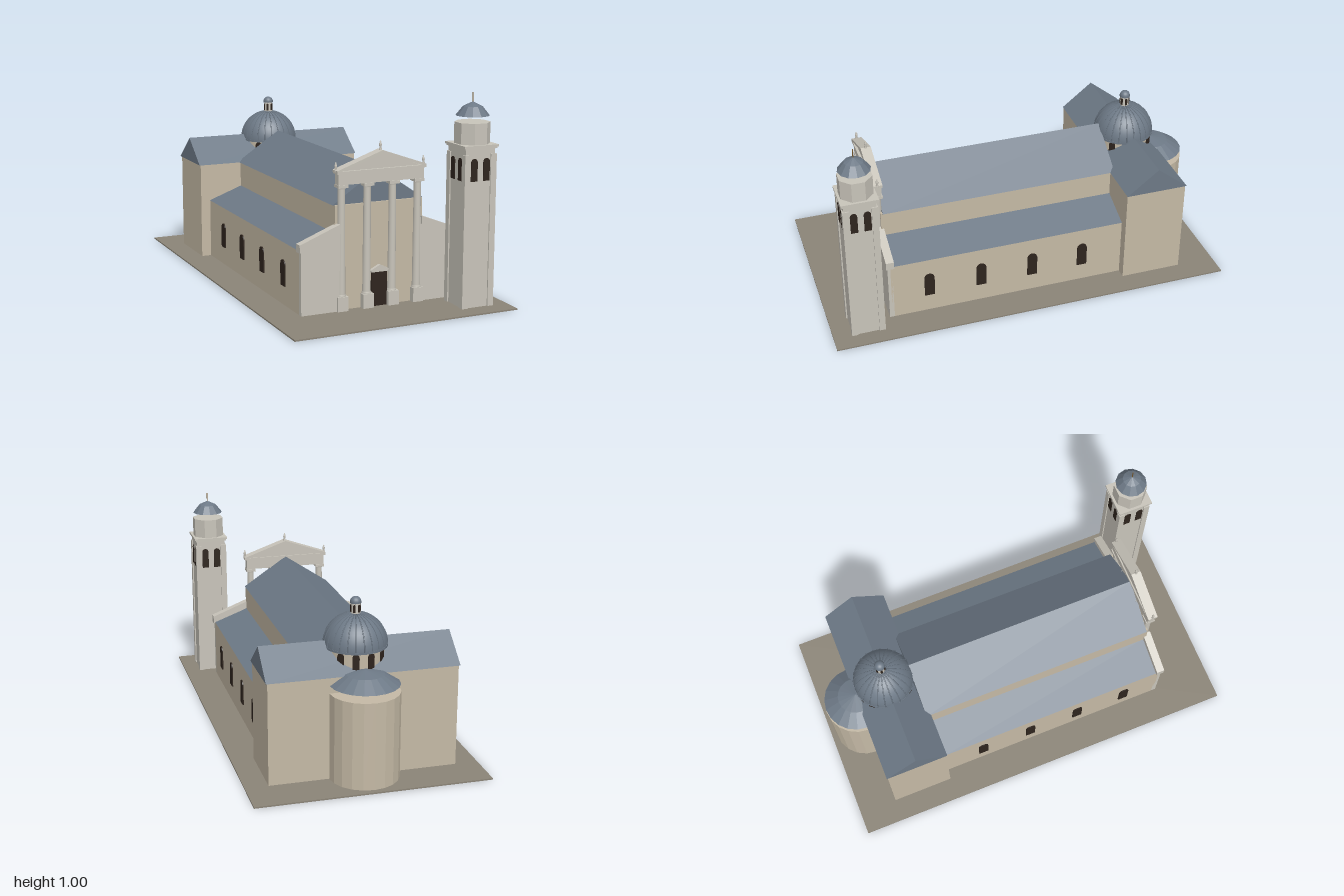
import * as THREE from 'three';

const mat = (color, flatShading = false) =>
  new THREE.MeshStandardMaterial({ color, flatShading, side: THREE.DoubleSide });
const wall = mat(0xc4b9a5), wallFlat = mat(0xc4b9a5, true);
const stone = mat(0xc8c4ba), stoneFlat = mat(0xc8c4ba, true);
const roof = mat(0x6d7986), roofFlat = mat(0x6d7986, true);
const dark = mat(0x2e241d), paving = mat(0x8b8477), bronze = mat(0x7a5a2c);

export function createModel() {
  const model = new THREE.Group();

  const add = (name, geo, m, x = 0, y = 0, z = 0, parent = model) => {
    const mesh = new THREE.Mesh(geo, m);
    mesh.name = name;
    mesh.position.set(x, y, z);
    parent.add(mesh);
    return mesh;
  };
  // box given by its limits
  const box = (name, m, x0, x1, y0, y1, z0, z1, parent) =>
    add(name, new THREE.BoxGeometry(x1 - x0, y1 - y0, z1 - z0), m,
      (x0 + x1) / 2, (y0 + y1) / 2, (z0 + z1) / 2, parent);
  // polygon in x/y pushed along z
  const prism = (name, m, pts, z0, z1, parent) => {
    const shape = new THREE.Shape(pts.map(p => new THREE.Vector2(...p)));
    const geo = new THREE.ExtrudeGeometry(shape, { depth: z1 - z0, bevelEnabled: false });
    return add(name, geo, m, 0, 0, z0, parent);
  };
  const lathe = (name, m, pts, sides, x, y, z, parent) =>
    add(name, new THREE.LatheGeometry(pts.map(p => new THREE.Vector2(...p)), sides), m, x, y, z, parent);
  // round-headed dark opening, facing outwards at the given angle about y
  const arch = (name, w, h, x, y, z, angle, parent) => {
    const s = new THREE.Shape();
    s.moveTo(-w / 2, 0);
    s.lineTo(w / 2, 0);
    s.lineTo(w / 2, h - w / 2);
    s.absarc(0, h - w / 2, w / 2, 0, Math.PI, false);
    s.lineTo(-w / 2, 0);
    const geo = new THREE.ExtrudeGeometry(s, { depth: 0.008, bevelEnabled: false, curveSegments: 6 });
    geo.translate(0, 0, -0.004);
    add(name, geo, dark, x, y, z, parent).rotation.y = angle;
  };

  box('ground', paving, -0.56, 0.56, 0, 0.007, -1, 1);

  // nave
  box('naveWalls', wall, -0.225, 0.225, 0, 0.5, -0.5, 0.685);
  prism('naveRoof', roof, [[-0.232, 0.5], [0.232, 0.5], [0, 0.655]], -0.52, 0.675);

  // side aisles with lean-to roofs, windows and front wings
  for (const s of [-1, 1]) {
    const side = s < 0 ? 'right' : 'left';
    const aisle = new THREE.Group();
    aisle.name = side + 'Aisle';
    model.add(aisle);
    box('aisleWalls', wall, s < 0 ? -0.4 : 0.2, s < 0 ? -0.2 : 0.4, 0, 0.308, -0.5, 0.69, aisle);
    prism('aisleRoof', roof, [[s * 0.22, 0.308], [s * 0.402, 0.308], [s * 0.22, 0.375]], -0.5, 0.69, aisle);
    for (const z of [0.5, 0.237, -0.027, -0.29])
      arch('aisleWindow', 0.05, 0.125, s * 0.402, 0.1, z, s * Math.PI / 2, aisle);
    prism('frontWing', stone, [[s * 0.2, 0], [s * 0.4, 0], [s * 0.4, 0.335], [s * 0.2, 0.415]], 0.68, 0.704, aisle);
    prism('wingCornice', stone, [[s * 0.21, 0.38], [s * 0.41, 0.302], [s * 0.41, 0.34], [s * 0.21, 0.418]], 0.672, 0.712, aisle);
  }

  // transept
  box('transeptWalls', wall, -0.45, 0.45, 0, 0.5, -0.808, -0.5);
  const transeptRoof = prism('transeptRoof', roof, [[-0.158, 0.5], [0.158, 0.5], [0, 0.625]], -0.457, 0.457);
  transeptRoof.geometry.translate(0, 0, -0.457);
  transeptRoof.rotation.y = Math.PI / 2;
  transeptRoof.position.set(0, 0, -0.655);
  transeptRoof.geometry.translate(0, 0, 0.457 - 0.457);
  transeptRoof.position.x = 0;

  // apse with a raised, shallow roof
  add('apseWall', new THREE.CylinderGeometry(0.165, 0.165, 0.425, 20), wallFlat, 0, 0.2125, -0.81);
  lathe('apseRoof', roofFlat, [[0.163, 0.46], [0.09, 0.508], [0, 0.525]], 20, 0, 0, -0.81);

  // dome over the crossing
  const dome = new THREE.Group();
  dome.name = 'crossingDome';
  dome.position.z = -0.655;
  model.add(dome);
  add('drum', new THREE.CylinderGeometry(0.137, 0.137, 0.12, 32), wall, 0, 0.54, 0, dome);
  for (let i = 0; i < 12; i++) {
    const a = (i + 0.5) * Math.PI / 6;
    arch('drumWindow', 0.032, 0.08, 0.137 * Math.sin(a), 0.51, 0.137 * Math.cos(a), a, dome);
  }
  add('drumCornice', new THREE.CylinderGeometry(0.15, 0.15, 0.01, 32), roof, 0, 0.597, 0, dome);
  add('domeShell', new THREE.SphereGeometry(0.148, 48, 14, 0, Math.PI * 2, 0, Math.PI / 2), roof, 0, 0.597, 0, dome);
  const ribGeo = new THREE.TorusGeometry(0.148, 0.003, 4, 14, Math.PI / 2);
  for (let i = 0; i < 24; i++)
    add('domeRib', ribGeo, roof, 0, 0.597, 0, dome).rotation.y = i * Math.PI / 12;

  // lantern
  add('lantern', new THREE.CylinderGeometry(0.021, 0.023, 0.06, 16), stone, 0, 0.765, 0, dome);
  for (let i = 0; i < 6; i++) {
    const a = (i + 0.5) * Math.PI / 3;
    arch('lanternOpening', 0.011, 0.036, 0.02 * Math.sin(a), 0.75, 0.02 * Math.cos(a), a, dome);
  }
  add('lanternCap', new THREE.SphereGeometry(0.026, 16, 8, 0, Math.PI * 2, 0, Math.PI / 2), roof, 0, 0.797, 0, dome);
  add('lanternRim', new THREE.CylinderGeometry(0.026, 0.026, 0.006, 16), roof, 0, 0.795, 0, dome);

  // temple front
  const portico = new THREE.Group();
  portico.name = 'portico';
  model.add(portico);
  for (const x of [-0.195, -0.065, 0.065, 0.195]) {
    box('pedestal', stone, x - 0.027, x + 0.027, 0, 0.075, 0.675, 0.716, portico);
    lathe('column', stone, [[0.023, 0.075], [0.023, 0.083], [0.02, 0.086], [0.017, 0.575], [0.021, 0.585]],
      16, x, 0, 0.69, portico);
    box('capital', stone, x - 0.025, x + 0.025, 0.583, 0.597, 0.667, 0.714, portico);
  }
  box('entablature', stone, -0.218, 0.218, 0.597, 0.65, 0.672, 0.71, portico);
  box('entablatureCornice', stone, -0.227, 0.227, 0.648, 0.66, 0.667, 0.717, portico);
  prism('tympanum', stone, [[-0.215, 0.655], [0.215, 0.655], [0, 0.732]], 0.674, 0.704, portico);
  for (const s of [-1, 1])
    prism('rakingCornice', stone, [[s * 0.228, 0.652], [s * 0.228, 0.664], [0, 0.744], [0, 0.73]], 0.667, 0.717, portico);

  // statues on the pediment corners and top
  for (const [x, y] of [[-0.224, 0.655], [0, 0.738], [0.224, 0.655]])
    lathe('statue', stone, [[0.007, 0], [0.007, 0.012], [0.004, 0.013], [0.007, 0.026], [0.006, 0.034],
      [0.003, 0.037], [0.004, 0.042], [0, 0.047]], 8, x, y, 0.692, portico);

  // doorway
  box('door', dark, -0.04, 0.04, 0.007, 0.17, 0.68, 0.694, portico);
  box('doorLintel', stone, -0.044, 0.044, 0.17, 0.18, 0.68, 0.698, portico);
  prism('doorPediment', stone, [[-0.05, 0.18], [0.05, 0.18], [0, 0.205]], 0.68, 0.702, portico);

  // bell tower
  const tower = new THREE.Group();
  tower.name = 'bellTower';
  tower.position.set(0.4, 0, 0.828);
  model.add(tower);
  box('towerShaft', stone, -0.077, 0.077, 0, 0.76, -0.077, 0.077, tower);
  for (const sx of [-1, 1]) for (const sz of [-1, 1])
    add('cornerPilaster', new THREE.BoxGeometry(0.03, 0.725, 0.03), stone, sx * 0.068, 0.3625, sz * 0.068, tower);
  for (let i = 0; i < 4; i++) {
    const face = new THREE.Group();
    face.name = 'belfryFace';
    face.rotation.y = i * Math.PI / 2;
    tower.add(face);
    for (const s of [-1, 1]) arch('belfryOpening', 0.034, 0.105, s * 0.032, 0.602, 0.076, 0, face);
  }
  box('towerCornice', stone, -0.084, 0.084, 0.75, 0.758, -0.084, 0.084, tower);
  box('towerCorniceTop', stone, -0.089, 0.089, 0.758, 0.768, -0.089, 0.089, tower);
  add('towerDrum', new THREE.CylinderGeometry(0.083, 0.083, 0.1, 8), stoneFlat, 0, 0.816, 0, tower)
    .rotation.y = Math.PI / 8;
  add('towerRoofBase', new THREE.CircleGeometry(0.078, 12).rotateX(Math.PI / 2), roof, 0, 0.895, 0, tower);
  lathe('towerRoof', roofFlat, [[0.078, 0.895], [0.045, 0.937], [0, 0.958]], 12, 0, 0, 0, tower);
  add('spire', new THREE.CylinderGeometry(0.0025, 0.0025, 0.045, 6), bronze, 0, 0.9775, 0, tower);

  return model;
}
